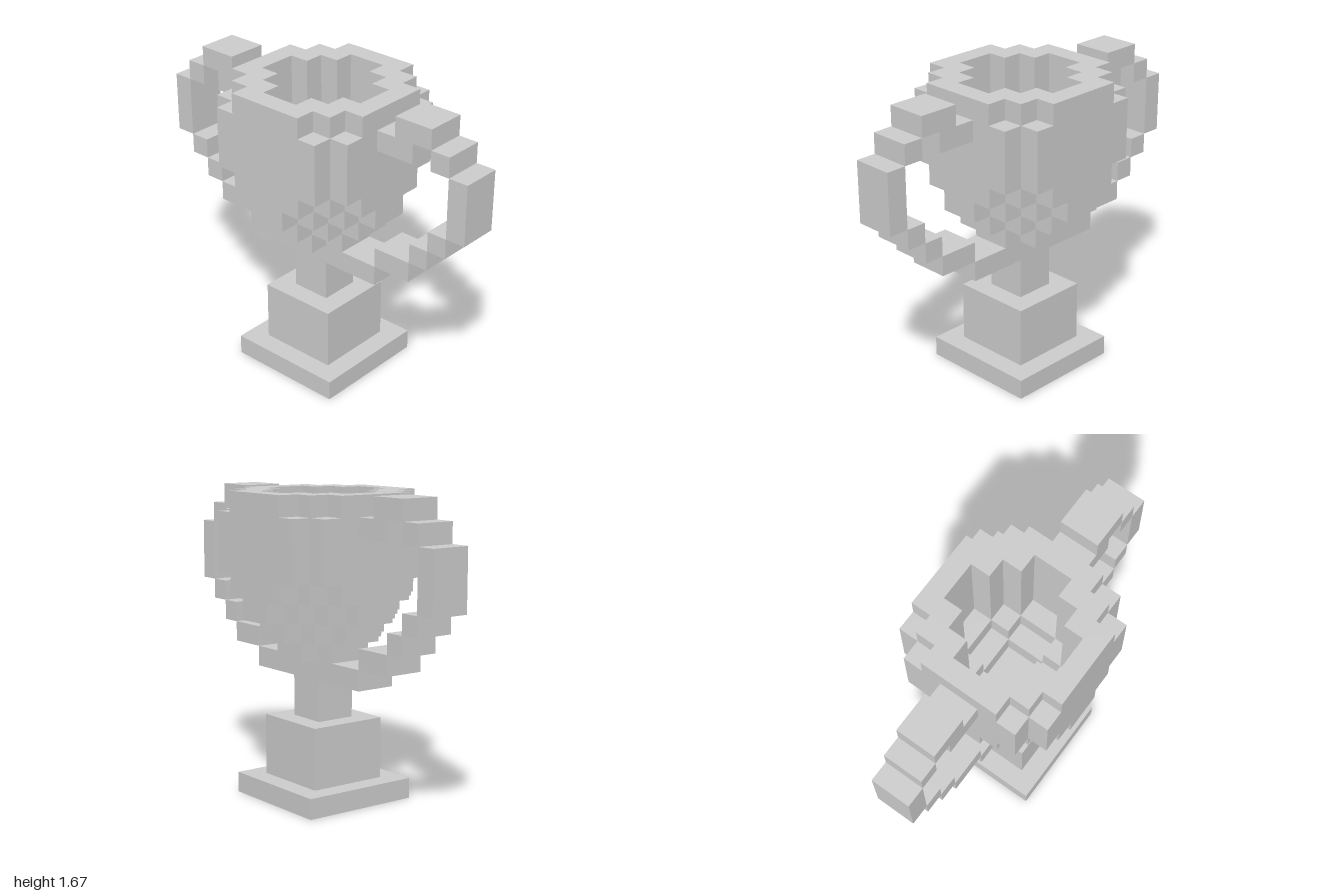
import * as THREE from 'three';

const U = 1 / 9; // edge of one cube cell
const material = new THREE.MeshStandardMaterial({ color: 0xcccccc, flatShading: true });

// Box given by its limits in cells
function block(name, x0, x1, y0, y1, z0, z1) {
  const mesh = new THREE.Mesh(
    new THREE.BoxGeometry((x1 - x0) * U, (y1 - y0) * U, (z1 - z0) * U), material);
  mesh.position.set((x0 + x1) / 2 * U, (y0 + y1) / 2 * U, (z0 + z1) / 2 * U);
  mesh.name = name;
  return mesh;
}

// Stepped diamond outline of cells with i + j < r, clipped to a half width of 4
function steppedOutline(r) {
  const rows = Math.min(4, r);
  const width = (j) => Math.min(4, r - j);
  const quadrant = [];
  for (let j = 0; j < rows; j++) {
    quadrant.push([width(j), j + 1]);
    if (j + 1 < rows && width(j + 1) !== width(j)) quadrant.push([width(j + 1), j + 1]);
  }
  const points = [];
  for (let turn = 0; turn < 4; turn++) {
    for (const [x, y] of quadrant) {
      const [a, b] = [[x, y], [-y, x], [-x, -y], [y, -x]][turn];
      points.push(new THREE.Vector2(a * U, b * U));
    }
  }
  return points;
}

// One horizontal slice of the cup, with an optional stepped hole
function cupLayer(y0, y1, outer, inner) {
  const shape = new THREE.Shape(steppedOutline(outer));
  if (inner) shape.holes.push(new THREE.Path(steppedOutline(inner)));
  const geometry = new THREE.ExtrudeGeometry(shape, { depth: (y1 - y0) * U, bevelEnabled: false });
  geometry.rotateX(-Math.PI / 2);
  const mesh = new THREE.Mesh(geometry, material);
  mesh.position.y = y0 * U;
  mesh.name = 'cupLayer';
  return mesh;
}

export function createModel() {
  const model = new THREE.Group();
  model.name = 'trophy';

  // Foot and stem
  model.add(
    block('basePlate', -3, 3, 0, 1, -3, 3),
    block('pedestal', -2, 2, 1, 4, -2, 2),
    block('stem', -1, 1, 4, 7, -1, 1));

  // Hollow cup: bottom, top, outer size, inner size
  const cup = new THREE.Group();
  cup.name = 'cup';
  for (const layer of [
    [7, 8, 2, 0], [8, 9, 3, 1], [9, 10, 4, 2],
    [10, 11, 5, 3], [11, 14, 6, 3], [14, 15, 5, 3],
  ]) cup.add(cupLayer(...layer));
  model.add(cup);

  // Handles: x and y limits of each piece, mirrored to both sides
  const pieces = [
    [1, 4, 6, 7], [4, 6, 7, 8], [6, 7, 8, 9], [7, 8, 9, 10],
    [8, 9, 10, 13], [7, 8, 13, 14], [5, 7, 14, 15], [4, 6, 13, 14],
  ];
  for (const side of [1, -1]) {
    const handle = new THREE.Group();
    handle.name = side > 0 ? 'leftHandle' : 'rightHandle';
    for (const [x0, x1, y0, y1] of pieces) {
      const [a, b] = side > 0 ? [x0, x1] : [-x1, -x0];
      handle.add(block('handlePiece', a, b, y0, y1, -1, 1));
    }
    model.add(handle);
  }
  return model;
}
